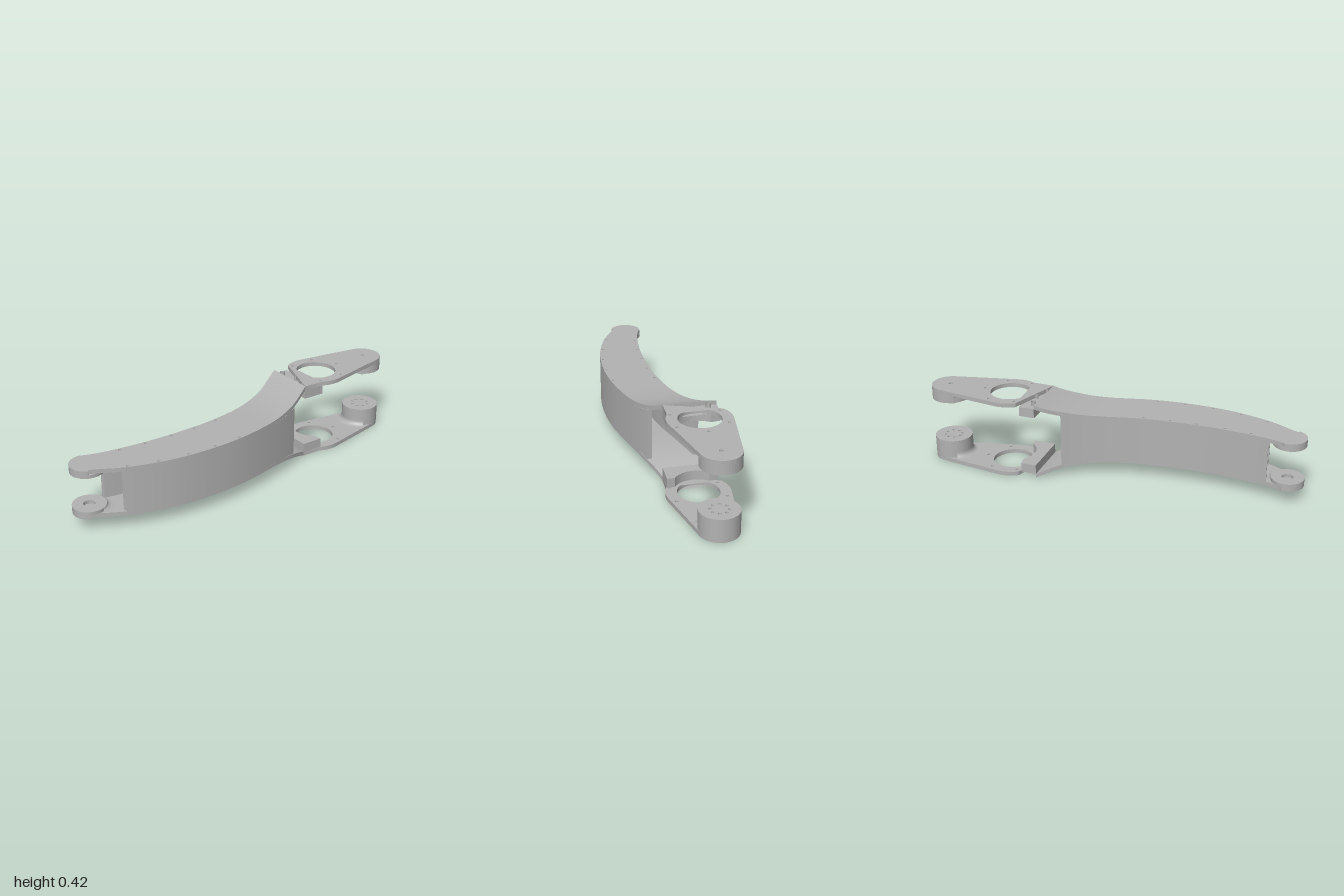
import * as THREE from 'three';
import { toCreasedNormals } from 'three/addons/utils/BufferGeometryUtils.js';

const H = 0.417;            // overall height; the arm is mirrored about H / 2
const SKIN = 0.022;         // plate thickness
const WALL = 0.024;         // side wall thickness
const Z0 = 0.05;            // where the plates start to flare
const Z1 = -0.37;           // where the flare meets the flat flange
const RING = { x: -0.015, z: -0.555, r: 0.163 };
const END = { x: 0.02, z: -0.9, r: 0.1 };
const TIP = { x: -0.115, z: 0.915, r: 0.085 };
const { lerp, clamp, degToRad: rad } = THREE.MathUtils;

// Side edges of the curved arm, sampled every 0.2 from z = -0.4 to z = 1
const edge = (xs) => {
  const curve = new THREE.SplineCurve(xs.map((x, i) => new THREE.Vector2(x, i)));
  return (z) => curve.getPoint(clamp((z + 0.4) / 1.4, 0, 1)).x;
};
const xMin = edge([-0.172, -0.105, -0.064, -0.053, -0.068, -0.1, -0.153, -0.235]);
const xMax = edge([0.09, 0.148, 0.183, 0.196, 0.18, 0.135, 0.05, -0.075]);

// Height of the upper plate along the arm
const flare = (z) => clamp((Z0 - z) / (Z0 - Z1), 0, 1);
const top = (z) => 0.34 + 0.077 * flare(z) ** 2.6;
const under = (z) => top(z) - SKIN;

const circle = (x, z, r) => new THREE.Shape().absarc(x, z, r, 0, Math.PI * 2, false);
const slot = (x, z, half, r) => new THREE.Shape()
  .absarc(x + half, z, r, -Math.PI / 2, Math.PI / 2, false)
  .absarc(x - half, z, r, Math.PI / 2, Math.PI * 1.5, false);

// Plan outline (x, z) extruded between two heights
function slab(shape, y0, y1, holes = []) {
  shape.holes = holes;
  const g = new THREE.ExtrudeGeometry(shape, { depth: y1 - y0, bevelEnabled: false, curveSegments: 40 });
  g.rotateX(Math.PI / 2).translate(0, y1, 0);
  return toCreasedNormals(g, 0.5);
}

// Box whose corners (u, v, w) are moved by a rule
function shaped(segments, rule) {
  const g = new THREE.BoxGeometry(1, 1, 1, 8, 1, segments);
  const p = g.attributes.position;
  for (let i = 0; i < p.count; i++) {
    p.setXYZ(i, ...rule(p.getX(i) + 0.5, p.getY(i) + 0.5, p.getZ(i) + 0.5));
  }
  g.computeVertexNormals();
  return g;
}

// Concave fillet around part of a boss, from radius r at yBoss to r + w at yPlate
function fillet(c, w, yBoss, yPlate, from, to) {
  const pts = [];
  for (let i = 0; i <= 6; i++) {
    const a = (i / 6) * Math.PI / 2;
    pts.push(new THREE.Vector2(c.r + w * (1 - Math.cos(a)), lerp(yBoss, yPlate, Math.sin(a))));
  }
  if (yPlate < yBoss) pts.reverse();
  return new THREE.LatheGeometry(pts, 24, rad(from), rad(to - from)).translate(c.x, 0, c.z);
}

function armOutline() {
  const n = 40, s = new THREE.Shape();
  for (let i = 0; i <= n; i++) {
    const z = lerp(Z0, 0.885, i / n);
    i ? s.lineTo(xMin(z), z) : s.moveTo(xMin(z), z);
  }
  s.absarc(TIP.x, TIP.z, TIP.r, rad(197), rad(30), true);
  for (let i = 0; i <= n; i++) {
    const z = lerp(0.95, Z0, i / n);
    s.lineTo(xMax(z), z);
  }
  return s;
}

function flangeOutline() {
  return new THREE.Shape()
    .moveTo(xMin(-0.388), -0.388)
    .absarc(RING.x, RING.z, RING.r, rad(155), rad(196.3), false)
    .absarc(END.x, END.z, END.r, rad(196.3), rad(355.3), false)
    .absarc(RING.x, RING.z, RING.r, rad(355.3), rad(395), false)
    .lineTo(xMax(-0.353), -0.353);
}

// Thick shoulder with a round relief facing the ring hole
function shoulderOutline() {
  return new THREE.Shape()
    .moveTo(xMin(-0.388), -0.388)
    .lineTo(-0.158, -0.47)
    .absarc(RING.x, RING.z, 0.125, rad(137), rad(43), true)
    .lineTo(0.118, -0.47)
    .lineTo(xMax(-0.353), -0.353);
}

export function createModel() {
  const model = new THREE.Group();
  model.name = 'armLink';
  const metal = new THREE.MeshStandardMaterial({ color: 0xb2b2b2, side: THREE.DoubleSide });
  metal.name = 'greyMetal';
  const add = (name, geometry) => {
    const m = new THREE.Mesh(geometry, metal);
    m.name = name;
    model.add(m);
  };

  // Side walls
  const wall = (x0, x1, zBack) => shaped(48, (u, v, w) => {
    const z = lerp(zBack, 0.81, w);
    return [lerp(x0(z), x1(z), u), lerp(H - under(z), under(z), v), z];
  });
  add('rightWall', wall(xMin, (z) => xMin(z) + WALL, -0.26));
  add('leftWall', wall((z) => xMax(z) - WALL, xMax, -0.235));

  for (const upper of [true, false]) {
    const side = upper ? 'upper' : 'lower';
    const Y = (y) => (upper ? y : H - y);
    const layer = (shape, a, b, holes) => slab(shape, Math.min(Y(a), Y(b)), Math.max(Y(a), Y(b)), holes);

    // Curved arm plate with screw holes along both edges
    const screws = [
      ...[0.16, 0.3, 0.44, 0.585, 0.72].map((z) => circle(xMin(z) + 0.014, z, 0.007)),
      ...[0.2, 0.35, 0.5, 0.65, 0.79].map((z) => circle(xMax(z) - 0.014, z, 0.007)),
    ];
    add(side + 'ArmPlate', layer(armOutline(), 0.318, 0.34, screws));

    // Flared transition, its rear edge slightly skewed
    add(side + 'Flare', shaped(32, (u, v, w) => {
      const z = lerp(Z1, Z0, w);
      const zs = z - 0.035 * (0.5 - u) * flare(z);
      const y = upper ? lerp(under(z), top(z), v) : H - lerp(top(z), under(z), v);
      return [lerp(xMin(zs), xMax(zs), u), y, zs];
    }));

    // Rear flange with the large ring hole and its bolt circle
    const bolts = [[-0.13, -0.64], [0, -0.7], [0.12, -0.61], [0.105, -0.47], [-0.03, -0.41], [-0.14, -0.5]]
      .map(([x, z]) => circle(x, z, 0.008));
    const holes = [circle(RING.x, RING.z, 0.107), ...bolts,
      circle(-0.12, -0.401, 0.013), circle(0.058, -0.379, 0.013)];
    if (upper) holes.push(circle(END.x, END.z, 0.011));
    else for (const x of [-0.026, 0.026]) for (const z of [-0.03, 0.03]) {
      holes.push(slot(END.x + x, END.z + z, 0.01, 0.008));
    }
    add(side + 'Flange', layer(flangeOutline(), 0.395, H, holes));
    add(side + 'Shoulder', layer(shoulderOutline(), 0.345, 0.395));

    // Front clevis boss with a blind pivot hole
    add(side + 'ClevisBoss', layer(circle(TIP.x, TIP.z, TIP.r), 0.3, 0.318, [circle(TIP.x, TIP.z, 0.03)]));
    add(side + 'ClevisFillet', fillet(TIP, 0.03, Y(0.3), Y(0.318), 105, 195));
  }

  // Rear bosses: the upper one carries a hollow pin, the lower one a hole pattern
  add('upperEndBoss', slab(circle(END.x, END.z, END.r), 0.345, 0.395));
  add('upperEndFillet', fillet(END, 0.022, 0.373, 0.395, -65, 55));
  add('pivotPin', slab(circle(END.x, END.z, 0.027), 0.31, 0.345, [circle(END.x, END.z, 0.012)]));
  const pattern = [];
  for (let i = 0; i < 8; i++) {
    const a = rad(i * 45 + 22.5);
    pattern.push(circle(END.x + 0.045 * Math.cos(a), END.z + 0.045 * Math.sin(a), 0.008));
  }
  add('lowerEndBoss', slab(circle(END.x, END.z, END.r), 0.022, 0.12, pattern));
  add('lowerEndFillet', fillet(END, 0.025, 0.048, 0.022, -65, 55));

  return model;
}
